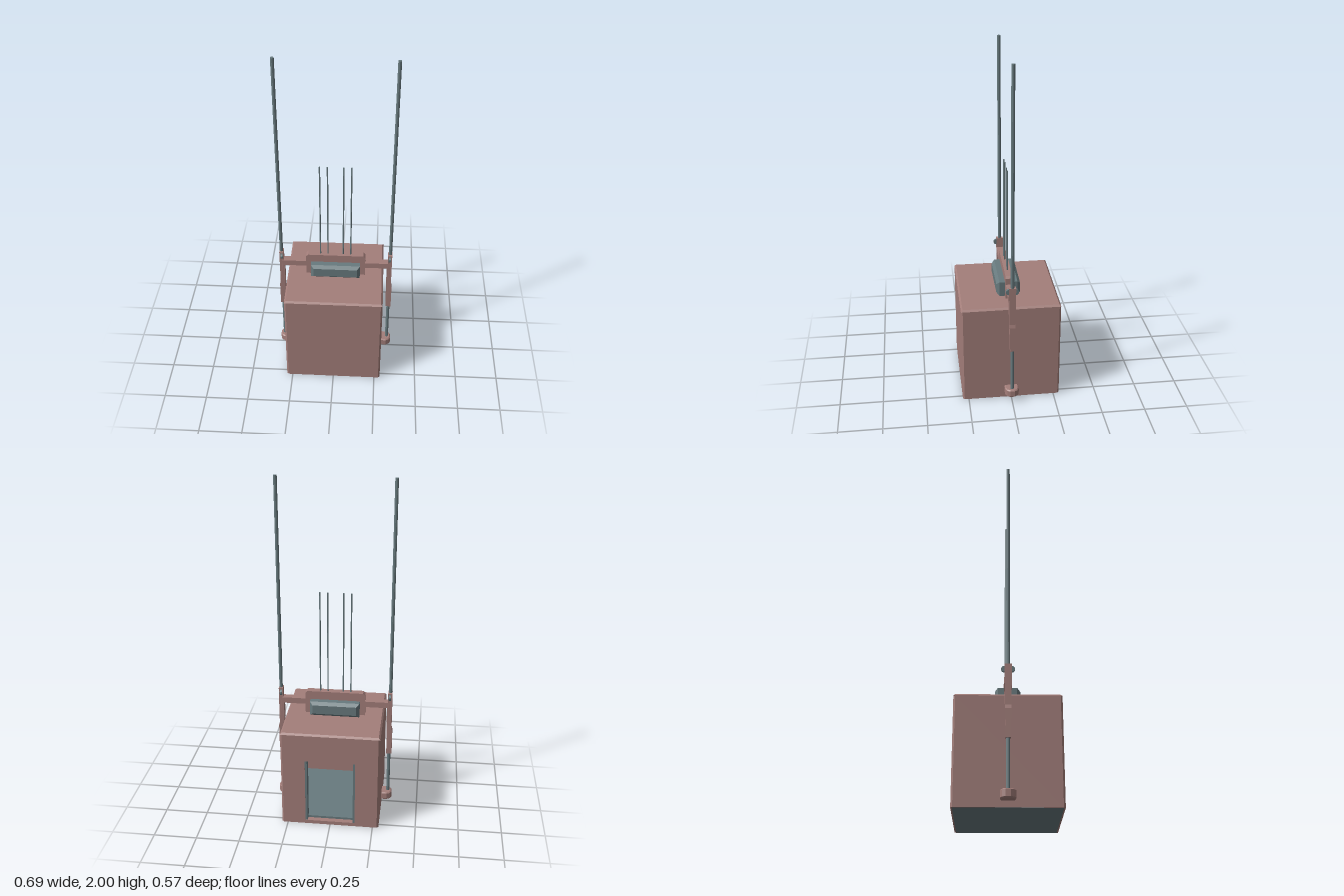
import * as THREE from 'three';

const wallMat = new THREE.MeshStandardMaterial({ color: 0xa37e7a, flatShading: true });
const steelMat = new THREE.MeshStandardMaterial({ color: 0x687a7e, flatShading: true });

function add(parent, name, geometry, material, x = 0, y = 0, z = 0) {
  const mesh = new THREE.Mesh(geometry, material);
  mesh.name = name;
  mesh.position.set(x, y, z);
  parent.add(mesh);
  return mesh;
}

// Box given by its min and max corners
function block(parent, name, material, [x0, y0, z0], [x1, y1, z1]) {
  return add(parent, name, new THREE.BoxGeometry(x1 - x0, y1 - y0, z1 - z0), material,
    (x0 + x1) / 2, (y0 + y1) / 2, (z0 + z1) / 2);
}

// Polygon extruded about z = 0, with a chamfer inside the total depth
function slab(points, depth, bevel = 0) {
  const shape = new THREE.Shape(points.map(([x, y]) => new THREE.Vector2(x, y)));
  const geo = new THREE.ExtrudeGeometry(shape, {
    depth: depth - 2 * bevel, bevelEnabled: bevel > 0, bevelSize: bevel,
    bevelThickness: bevel, bevelOffset: -bevel, bevelSegments: 1,
  });
  return geo.translate(0, 0, -(depth - 2 * bevel) / 2);
}

function createCabin() {
  const cabin = new THREE.Group();
  cabin.name = 'cabin';
  const o = 0.285, c = 0.275, i = 0.255, d = 0.145;

  // Walls: a plan outline with chamfered corners, open at the doorway
  const plan = [[d, o], [c, o], [o, c], [o, -c], [c, -o], [-c, -o], [-o, -c], [-o, c], [-c, o], [-d, o],
    [-d, i], [-i, i], [-i, -i], [i, -i], [i, i], [d, i]];
  const walls = slab(plan, 0.59).rotateX(-Math.PI / 2);
  add(cabin, 'walls', walls, wallMat, 0, 0.295, 0);
  block(cabin, 'doorLintel', wallMat, [-d, 0.425, -o], [d, 0.59, -i]);
  block(cabin, 'doorSill', wallMat, [-d, 0, -o], [d, 0.022, -i]);

  // Roof with chamfered rim, and ceiling
  const roof = new THREE.CylinderGeometry(c * Math.SQRT2, o * Math.SQRT2, 0.01, 4).rotateY(Math.PI / 4);
  add(cabin, 'roof', roof, wallMat, 0, 0.595, 0);
  block(cabin, 'ceiling', wallMat, [-i, 0.56, -i], [i, 0.589, i]);
  block(cabin, 'ceilingLamp', steelMat, [-0.13, 0.535, -0.13], [0.13, 0.56, 0.13]);

  // Floor and underside
  block(cabin, 'floor', steelMat, [-i, 0.005, -i], [i, 0.035, i]);
  block(cabin, 'underside', steelMat, [-0.277, -0.001, -0.277], [0.277, 0.004, 0.277]);

  // Door jambs, skirting and wall panels, on both sides
  for (const s of [-1, 1]) {
    const jamb = block(cabin, 'doorJamb', steelMat, [-0.006, 0.022, -0.284], [0.006, 0.425, -0.235]);
    jamb.position.x = s * 0.139;
    const skirt = block(cabin, 'skirting', steelMat, [-0.004, 0.035, -i], [0.004, 0.075, i]);
    skirt.position.x = s * 0.251;
    for (const z of [-0.115, 0.125]) {
      add(cabin, 'wallPanel', new THREE.BoxGeometry(0.006, 0.28, 0.21), steelMat, s * 0.252, 0.38, z);
    }
  }
  return cabin;
}

function createHoist() {
  const hoist = new THREE.Group();
  hoist.name = 'hoist';
  // Arched bracket with arms reaching out to the guides
  const half = [[0.145, 0.6], [0.175, 0.6], [0.175, 0.655], [0.315, 0.655], [0.315, 0.69],
    [0.175, 0.69], [0.175, 0.728], [0.163, 0.74]];
  const outline = [[0.145, 0.69], ...half, ...half.map(([x, y]) => [-x, y]).reverse(), [-0.145, 0.69]];
  add(hoist, 'crosshead', slab(outline, 0.04), wallMat);

  // Chamfered motor housing
  const housing = [[-0.145, 0.602], [0.145, 0.602], [0.145, 0.69], [-0.145, 0.69]];
  add(hoist, 'motorHousing', slab(housing, 0.138, 0.017), steelMat);

  for (const x of [-0.09, -0.046, 0.044, 0.088]) {
    add(hoist, 'cable', new THREE.CylinderGeometry(0.004, 0.004, 0.615, 8), steelMat, x, 1.0425, 0);
  }
  return hoist;
}

// Guide rail with sleeve and shoes, on the +x side
function createGuide() {
  const guide = new THREE.Group();
  guide.name = 'guide';
  const rx = 0.322;
  add(guide, 'rail', new THREE.CylinderGeometry(0.01, 0.01, 1.94, 10), steelMat, rx, 1.03, 0);

  // Sleeve: narrower in depth towards the lower end
  const profile = [[0.307, 0.345], [0.338, 0.345], [0.338, 0.5], [0.333, 0.52], [0.333, 0.75],
    [0.309, 0.75], [0.309, 0.69], [0.304, 0.66], [0.304, 0.5]];
  const sleeve = slab(profile, 0.04);
  const p = sleeve.attributes.position;
  for (let k = 0; k < p.count; k++) {
    p.setZ(k, p.getZ(k) * THREE.MathUtils.mapLinear(Math.min(p.getY(k), 0.65), 0.345, 0.65, 0.65, 1));
  }
  sleeve.computeVertexNormals();
  add(guide, 'sleeve', sleeve, wallMat);

  // Rollers either side of the sleeve top
  for (const z of [-0.02, 0.02]) {
    const roller = new THREE.CylinderGeometry(0.017, 0.017, 0.012, 12).rotateZ(Math.PI / 2);
    add(guide, 'roller', roller, steelMat, 0.319, 0.724, z);
  }

  // Rounded lower shoe
  const shoe = slab([[0.272, -0.04], [0.318, -0.04], [0.337, -0.03], [0.346, -0.013], [0.346, 0.013],
    [0.337, 0.03], [0.318, 0.04], [0.272, 0.04]], 0.048, 0.006).rotateX(-Math.PI / 2);
  add(guide, 'lowerShoe', shoe, wallMat, 0, 0.058, 0);
  return guide;
}

export function createModel() {
  const model = new THREE.Group();
  model.name = 'elevator';
  model.add(createCabin(), createHoist());
  for (const turn of [0, Math.PI]) {
    const guide = createGuide();
    guide.rotation.y = turn;
    model.add(guide);
  }
  return model;
}
